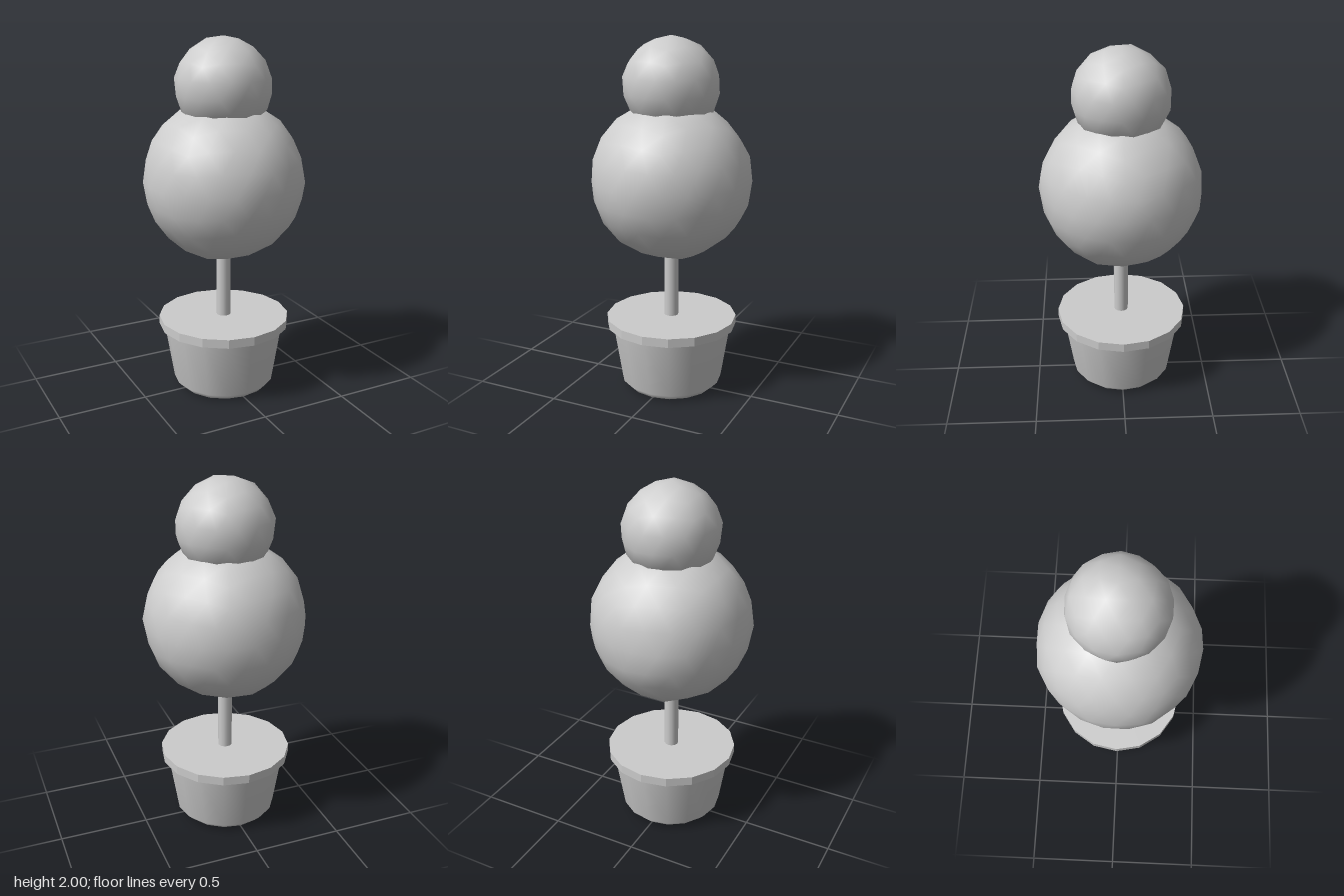
import * as THREE from 'three';
import { mergeVertices, toCreasedNormals } from 'three/addons/utils/BufferGeometryUtils.js';

const grey = new THREE.MeshStandardMaterial({ color: 0xcccccc });
grey.name = 'grey';

function seeded(seed) {
  return () => (seed = (seed * 16807) % 2147483647) / 2147483647;
}

// Slightly uneven, smooth-shaded ball with a vertex at each pole
function foliageGeometry(radius, detail, seed) {
  let geo = new THREE.IcosahedronGeometry(radius, detail);
  geo.deleteAttribute('normal');
  geo.deleteAttribute('uv');
  geo = mergeVertices(geo, 1e-3);
  geo.rotateZ(-Math.atan(2 / (1 + Math.sqrt(5))));
  const random = seeded(seed);
  const p = geo.attributes.position;
  const v = new THREE.Vector3();
  for (let i = 0; i < p.count; i++) {
    v.fromBufferAttribute(p, i);
    const polar = Math.abs(v.y) > radius * 0.99;
    v.multiplyScalar(polar ? 1 : 1 + (random() - 0.5) * 0.025);
    p.setXYZ(i, v.x, v.y, v.z);
  }
  geo.computeVertexNormals();
  return geo;
}

function lathe(profile, sides) {
  return new THREE.LatheGeometry(profile.map(([r, y]) => new THREE.Vector2(r, y)), sides);
}

export function createModel() {
  const group = new THREE.Group();
  group.name = 'pottedTopiary';
  const add = (name, geo, y = 0) => {
    const mesh = new THREE.Mesh(geo, grey);
    mesh.name = name;
    mesh.position.y = y;
    group.add(mesh);
  };

  // Tapered pot with a bevelled foot
  add('pot', lathe([[0, 0], [0.255, 0.004], [0.29, 0.04], [0.342, 0.365]], 16));

  // Overhanging rim and the flat soil surface level with it
  add('rim', toCreasedNormals(
    lathe([[0.335, 0.355], [0.345, 0.362], [0.372, 0.37], [0.372, 0.42], [0, 0.42]], 16), 0.3));

  // Trunk
  add('trunk', new THREE.CylinderGeometry(0.04, 0.04, 0.44, 12, 1, true), 0.62);

  // Two stacked balls of foliage
  add('lowerFoliage', foliageGeometry(0.447, 3, 11), 1.22);
  add('upperFoliage', foliageGeometry(0.266, 2, 29), 1.734);
  return group;
}
